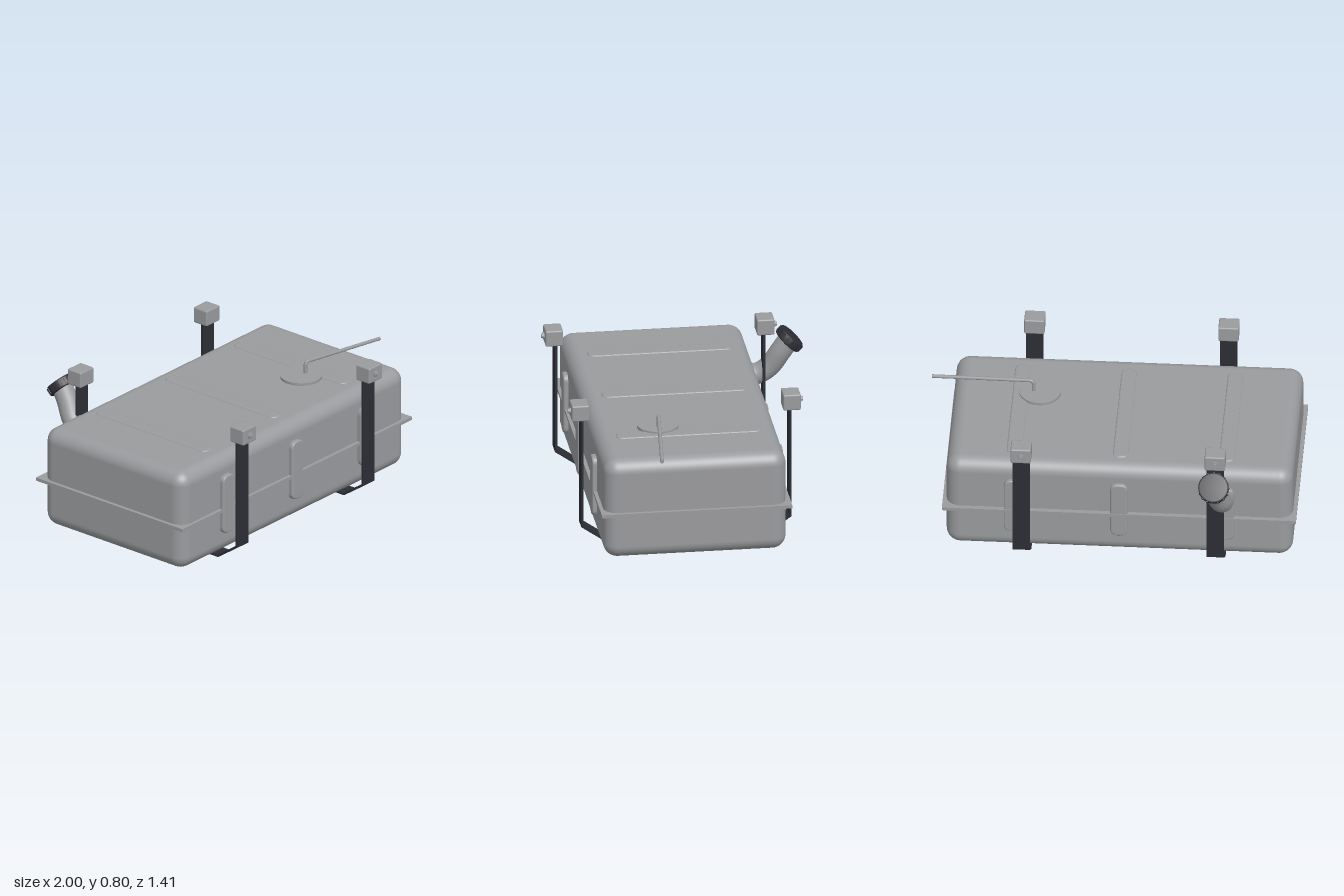
import * as THREE from 'three';
import { RoundedBoxGeometry } from 'three/addons/geometries/RoundedBoxGeometry.js';

export function createModel() {
  const model = new THREE.Group();
  model.name = 'fuelTank';

  const metal = new THREE.MeshStandardMaterial({ color: 0x9a9b9e });
  metal.name = 'grey metal';
  const rubber = new THREE.MeshStandardMaterial({ color: 0x2d2d35 });
  rubber.name = 'dark rubber';

  function add(name, geometry, material, x = 0, y = 0, z = 0) {
    const mesh = new THREE.Mesh(geometry, material);
    mesh.name = name;
    mesh.position.set(x, y, z);
    model.add(mesh);
    return mesh;
  }

  // Tank body and the seam flange around its middle
  add('tankBody', new RoundedBoxGeometry(1.86, 0.567, 0.985, 6, 0.075), metal, -0.05, 0.3285, 0.07);
  add('seamFlange', new THREE.BoxGeometry(1.9, 0.018, 1.03), metal, -0.05, 0.31, 0.067);

  // Pressed ribs: rounded slabs with a soft bevel, lying on +z before rotation
  function ribGeometry(w, h, depth, r) {
    const bevel = 0.01, a = w / 2 - bevel, b = h / 2 - bevel;
    const s = new THREE.Shape();
    s.moveTo(-a + r, -b);
    s.lineTo(a - r, -b);
    s.quadraticCurveTo(a, -b, a, -b + r);
    s.lineTo(a, b - r);
    s.quadraticCurveTo(a, b, a - r, b);
    s.lineTo(-a + r, b);
    s.quadraticCurveTo(-a, b, -a, b - r);
    s.lineTo(-a, -b + r);
    s.quadraticCurveTo(-a, -b, -a + r, -b);
    return new THREE.ExtrudeGeometry(s, {
      depth: depth - 2 * bevel, bevelThickness: bevel, bevelSize: bevel,
      bevelSegments: 3, curveSegments: 6,
    }).translate(0, 0, bevel);
  }
  for (const x of [-0.62, -0.05, 0.52]) {
    add('frontRib', ribGeometry(0.095, 0.34, 0.035, 0.03), metal, x, 0.34, 0.554);
    add('backRib', ribGeometry(0.095, 0.34, 0.035, 0.03), metal, x, 0.34, -0.409).rotation.y = Math.PI;
    add('topRib', ribGeometry(0.085, 0.785, 0.025, 0.03), metal, x, 0.593, 0.062).rotation.x = -Math.PI / 2;
  }

  // Strap profile in (z, y): outer outline, then back along the inner one
  const outer = [[0.641, 0.73], [0.641, 0.093], [0.507, 0], [-0.364, 0], [-0.496, 0.093], [-0.496, 0.73]];
  const inner = [[-0.484, 0.73], [-0.484, 0.1], [-0.36, 0.012], [0.503, 0.012], [0.629, 0.1], [0.629, 0.73]];
  const strapShape = new THREE.Shape([...outer, ...inner].map(([z, y]) => new THREE.Vector2(z, y)));
  const strapWidth = 0.093;

  // Straps with a mounting block and bolt at each end
  for (const x of [-0.571, 0.471]) {
    const geometry = new THREE.ExtrudeGeometry(strapShape, { depth: strapWidth, bevelEnabled: false });
    geometry.translate(0, 0, -strapWidth / 2).rotateY(-Math.PI / 2);
    add('strap', geometry, rubber, x);
    for (const [z, dir] of [[0.645, 1], [-0.498, -1]]) {
      add('mountBlock', new RoundedBoxGeometry(0.11, 0.09, 0.095, 2, 0.008), metal, x, 0.755, z);
      const washer = add('boltWasher', new THREE.CylinderGeometry(0.018, 0.018, 0.012, 16), metal, x, 0.755, z + dir * 0.05);
      const bolt = add('bolt', new THREE.CylinderGeometry(0.012, 0.012, 0.02, 12), metal, x, 0.755, z + dir * 0.055);
      washer.rotation.x = bolt.rotation.x = Math.PI / 2;
    }
  }

  // Bent filler neck on the back wall
  const neckPath = new THREE.CatmullRomCurve3([
    new THREE.Vector3(-0.612, 0.445, -0.4),
    new THREE.Vector3(-0.61, 0.455, -0.47),
    new THREE.Vector3(-0.6, 0.5, -0.53),
    new THREE.Vector3(-0.58, 0.585, -0.583),
    new THREE.Vector3(-0.572, 0.65, -0.625),
  ]);
  add('fillerNeck', new THREE.TubeGeometry(neckPath, 28, 0.058, 24), metal);

  // Filler cap: turned profile with grip notches
  const cap = new THREE.Group();
  cap.name = 'fillerCap';
  cap.position.set(-0.57, 0.663, -0.633);
  cap.rotation.x = -Math.PI / 4;
  model.add(cap);
  const capProfile = [[0, -0.025], [0.076, -0.025], [0.081, -0.02], [0.081, 0.017], [0.073, 0.025], [0, 0.025]];
  const capBody = new THREE.Mesh(
    new THREE.LatheGeometry(capProfile.map(([r, y]) => new THREE.Vector2(r, y)), 32), rubber);
  capBody.name = 'capBody';
  cap.add(capBody);
  for (let i = 0; i < 16; i++) {
    const a = (i / 16) * Math.PI * 2;
    const grip = new THREE.Mesh(new THREE.BoxGeometry(0.006, 0.034, 0.012), rubber);
    grip.name = 'capGrip';
    grip.position.set(Math.cos(a) * 0.081, -0.001, Math.sin(a) * 0.081);
    grip.rotation.y = -a;
    cap.add(grip);
  }

  // Sender plate with its outlet pipe
  add('senderPlate', new THREE.CylinderGeometry(0.112, 0.112, 0.022, 40), metal, 0.415, 0.616, 0.214);
  const pipePath = new THREE.CurvePath();
  const p = [[0.45, 0.61, 0.215], [0.45, 0.67, 0.215], [0.47, 0.69, 0.217], [0.998, 0.653, 0.27]]
    .map((c) => new THREE.Vector3(...c));
  pipePath.add(new THREE.LineCurve3(p[0], p[1]));
  pipePath.add(new THREE.QuadraticBezierCurve3(p[1], new THREE.Vector3(0.45, 0.691, 0.215), p[2]));
  pipePath.add(new THREE.LineCurve3(p[2], p[3]));
  add('outletPipe', new THREE.TubeGeometry(pipePath, 60, 0.01, 10), metal);
  const end = add('outletPipeEnd', new THREE.CircleGeometry(0.01, 10), metal, p[3].x, p[3].y, p[3].z);
  end.lookAt(p[3].clone().multiplyScalar(2).sub(p[2]));

  // Drain plug underneath
  add('drainPlug', new THREE.CylinderGeometry(0.025, 0.025, 0.03, 6), metal, -0.795, 0.037, 0.075);

  return model;
}
